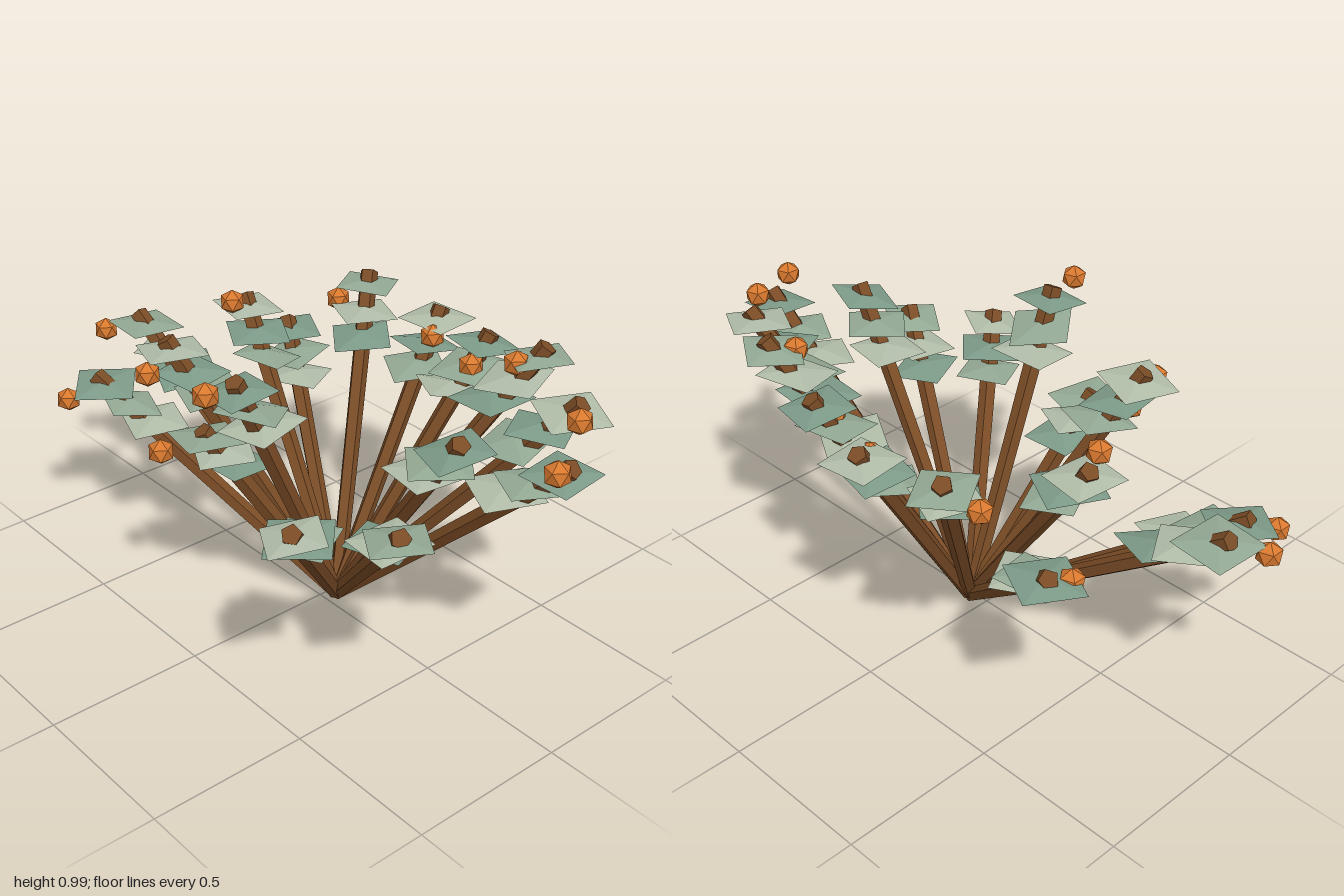
import * as THREE from 'three';

const mat = (color) => new THREE.MeshStandardMaterial({ color, flatShading: true });

// small seeded generator for leaf variation
let seed = 7;
const rand = () => (seed = (seed * 16807) % 2147483647) / 2147483647;

// tip position, turn of the top leaf in degrees, and (optional) berry position
const STEMS = [
  { tip: [0.90, 0.83, -0.10], turn: -3, berry: [0.92, 0.855, -0.015] },
  { tip: [0.75, 0.89, -0.30], turn: 28, berry: [0.81, 0.89, -0.22] },
  { tip: [0.50, 0.93, -0.43], turn: 32, berry: [0.455, 0.885, -0.35] },
  { tip: [0.23, 0.86, -0.48], turn: 10, berry: [0.23, 0.775, -0.40] },
  { tip: [-0.05, 0.83, -0.545], turn: -6, berry: [0.0, 0.77, -0.46] },
  { tip: [-0.355, 0.86, -0.51], turn: -33, berry: [-0.415, 0.765, -0.43] },
  { tip: [-0.63, 0.63, -0.385], turn: 28, berry: [-0.645, 0.595, -0.31] },
  { tip: [-0.545, 0.82, -0.14], turn: 10, berry: [-0.505, 0.83, -0.06] },
  { tip: [-0.90, 0.68, 0.04], turn: 5, berry: [-0.965, 0.625, 0.13] },
  { tip: [-0.79, 0.57, 0.29], turn: 38, berry: [-0.815, 0.505, 0.385] },
  { tip: [-0.35, 0.87, 0.31], turn: 20, berry: [-0.31, 0.80, 0.405] },
  { tip: [-0.11, 0.68, 0.36], turn: 15, berry: [-0.18, 0.615, 0.46] },
  { tip: [0.12, 0.945, 0.41], turn: 2, berry: [0.125, 0.94, 0.51] },
  { tip: [0.49, 0.68, 0.515], turn: 30 },
  { tip: [0.70, 0.69, 0.32], turn: 35 },
  { tip: [0.67, 0.87, 0.085], turn: 20 },
];

// leaf stations along a branch: [share of its reach, share of its height]
const LEAVES = [[0.96, 0.96], [0.85, 0.88], [0.75, 0.81]];

export function createModel() {
  const group = new THREE.Group();
  const base = new THREE.Vector3(0.045, 0.012, -0.03);
  const up = new THREE.Vector3(0, 1, 0);

  const bark = mat(0x7a4c26);
  const orange = mat(0xd9792f);
  const greens = [mat(0x7d9a88), mat(0xb0bca8), mat(0x93a994)];
  const leafShape = new THREE.OctahedronGeometry(1);
  const berryShape = new THREE.IcosahedronGeometry(0.041).rotateZ(-0.5536); // one corner straight up

  STEMS.forEach(({ tip, turn, berry }, i) => {
    const branch = new THREE.Group();
    branch.name = 'branch' + (i + 1);
    group.add(branch);

    // five-sided stem fanning out from the shared root
    const end = new THREE.Vector3(...tip);
    const axis = end.clone().sub(base);
    const length = axis.length();
    const stem = new THREE.Mesh(new THREE.CylinderGeometry(0.03, 0.024, length, 5), bark);
    stem.name = 'stem';
    stem.position.copy(base).addScaledVector(axis, 0.5);
    stem.quaternion.setFromUnitVectors(up, axis.clone().normalize());
    branch.add(stem);

    // three flat diamond leaves layered near the tip
    LEAVES.forEach(([reach, height], k) => {
      const leaf = new THREE.Mesh(leafShape, greens[(i + k * 2) % 3]);
      leaf.name = 'leaf';
      const size = 0.115 + 0.018 * rand();
      leaf.scale.set(size, 0.018, size);
      leaf.position.set(base.x + axis.x * reach, end.y * height, base.z + axis.z * reach);
      const yaw = 45 - turn + (k ? 80 * rand() : 0);
      leaf.rotation.set((rand() - 0.5) * 0.26, THREE.MathUtils.degToRad(yaw), (rand() - 0.5) * 0.26);
      branch.add(leaf);
    });

    // faceted berry in front of the tip
    if (berry) {
      const ball = new THREE.Mesh(berryShape, orange);
      ball.name = 'berry';
      ball.position.set(...berry);
      branch.add(ball);
    }
  });
  return group;
}
